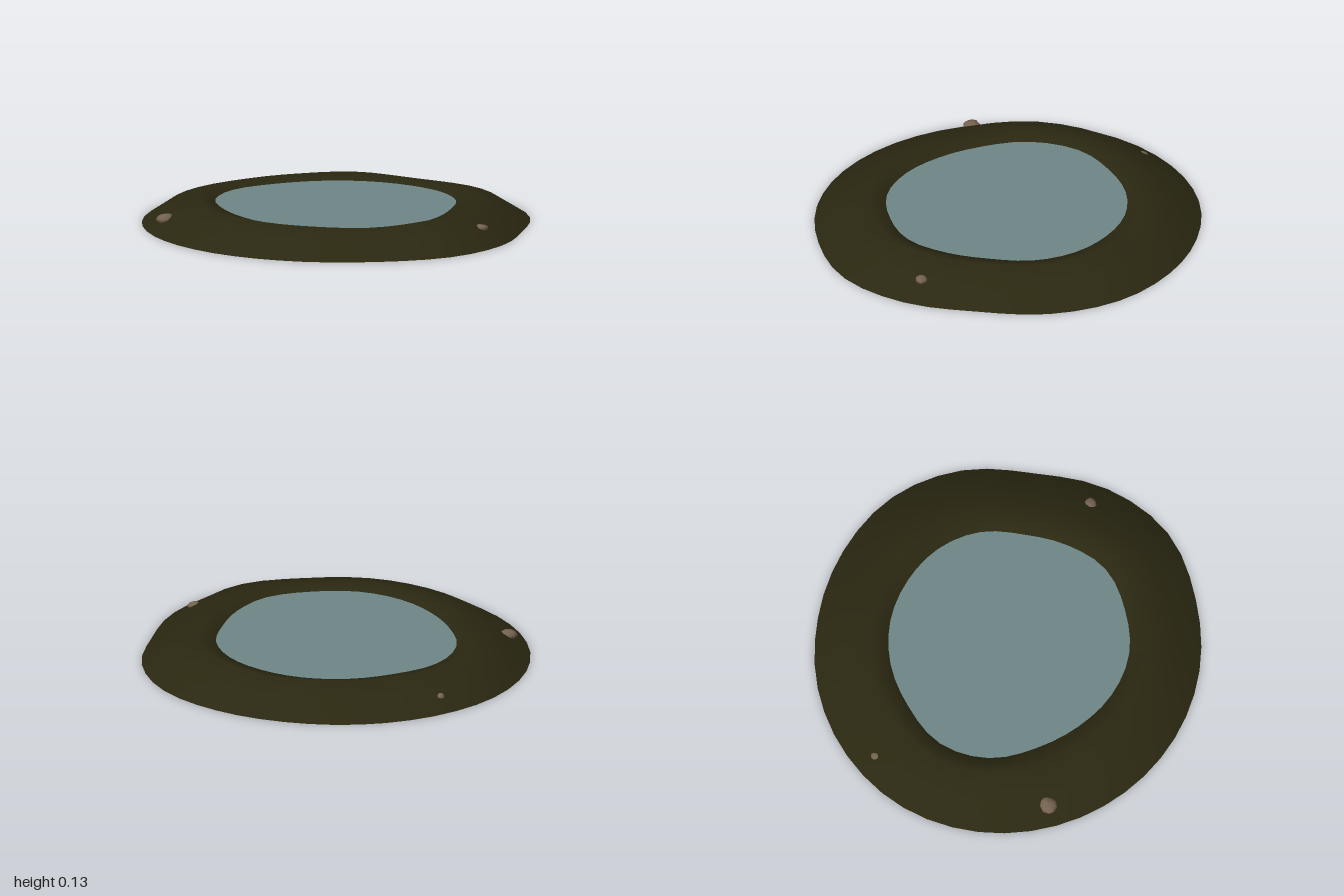
import * as THREE from 'three';

const SEGMENTS = 48;

// Radii of the shoreline and the outer rim, every 22.5 degrees from +x towards +z
const SHORE = [0.585, 0.575, 0.55, 0.57, 0.605, 0.6, 0.61, 0.6, 0.59, 0.605, 0.65, 0.66, 0.62, 0.605, 0.595, 0.585];
const RIM = [0.97, 0.95, 0.915, 0.96, 0.99, 0.965, 0.965, 0.97, 0.98, 0.995, 1.01, 1.015, 1.0, 0.98, 0.96, 0.96];

// Smooth closed interpolation of a radius table
function radiusAt(table, angle) {
  const n = table.length;
  const s = (angle / (Math.PI * 2)) * n;
  const i = Math.floor(s);
  const f = s - i;
  const [a, b, c, d] = [-1, 0, 1, 2].map((k) => table[(i + k + n) % n]);
  return b + 0.5 * f * (c - a + f * (2 * a - 5 * b + 4 * c - d + f * (3 * (b - c) + d - a)));
}

// Closed rings joined from the outside inwards; each ring gives [radius, height] at an angle
function loft(rings) {
  const pos = [];
  const index = [];
  rings.forEach((ring, r) => {
    for (let j = 0; j < SEGMENTS; j++) {
      const a = (j / SEGMENTS) * Math.PI * 2;
      const [radius, y] = ring(a);
      pos.push(radius * Math.cos(a), y, radius * Math.sin(a));
      if (r === rings.length - 1) continue;
      const k = (j + 1) % SEGMENTS;
      const o = r * SEGMENTS;
      const p = o + SEGMENTS;
      index.push(o + j, p + j, o + k, o + k, p + j, p + k);
    }
  });
  const geo = new THREE.BufferGeometry();
  geo.setAttribute('position', new THREE.Float32BufferAttribute(pos, 3));
  geo.setIndex(index);
  geo.computeVertexNormals();
  return geo;
}

// Bank ring: t = 0 at the shoreline, 1 at the outer rim
function bankRing(t, y, wobble = 0) {
  return (a) => {
    const s = radiusAt(SHORE, a);
    const wave = Math.sin(a * 5 + 0.6) + 0.6 * Math.sin(a * 8 + 2);
    return [s + (radiusAt(RIM, a) - s) * t, y + wobble * wave];
  };
}

// Flat sheet following the shoreline
function sheet(scale, y) {
  return loft([(a) => [radiusAt(SHORE, a) * scale, y], () => [0, y]]);
}

export function createModel() {
  const group = new THREE.Group();
  const material = (name, color) =>
    new THREE.MeshStandardMaterial({ name, color, side: THREE.DoubleSide });
  const earth = material('dark earth', 0x2a2711);
  const water = material('pond water', 0x708888);
  const mud = material('pond floor mud', 0x5a4b3f);
  const stone = material('brown stone', 0x74624f);

  const add = (name, geo, mat) => {
    const mesh = new THREE.Mesh(geo, mat);
    mesh.name = name;
    group.add(mesh);
    return mesh;
  };

  // Raised bank, hollow underneath
  add('bank', loft([
    bankRing(1, 0),
    bankRing(0.62, 0.088, 0.002),
    bankRing(0.24, 0.124, 0.004),
    bankRing(0, 0.1),
    bankRing(-0.02, 0.058),
  ]), earth);

  // Water surface and pond floor
  add('waterSurface', sheet(1.01, 0.1), water);
  add('pondFloor', sheet(1.02, 0.008), mud);

  // Flattened stones: x, y, z, radius
  const stones = [
    [-0.82, 0.055, -0.36, 0.05],
    [-0.1, 0.05, -0.89, 0.032],
    [0.33, 0.072, 0.755, 0.036],
    [0.54, 0.055, -0.54, 0.045],
    [0.52, 0.055, -0.62, 0.042],
    [-0.6, 0.055, -0.42, 0.05],
    [-0.64, 0.055, -0.3, 0.042],
    [-0.74, 0.055, 0.23, 0.042],
    [-0.08, 0.055, 0.79, 0.038],
    [0.03, 0.055, 0.66, 0.042],
  ];
  stones.forEach(([x, y, z, r], i) => {
    const geo = new THREE.SphereGeometry(1, 10, 7);
    const p = geo.attributes.position;
    for (let v = 0; v < p.count; v++) {
      const k = 1 + 0.08 * Math.sin(3 * p.getX(v) + i) * Math.cos(4 * p.getZ(v) + i);
      p.setXYZ(v, p.getX(v) * k, p.getY(v) * k, p.getZ(v) * k);
    }
    geo.computeVertexNormals();
    const mesh = add(`stone${i + 1}`, geo, stone);
    mesh.scale.set(r, r * 0.55, r * 0.85);
    mesh.rotation.y = i * 1.3;
    mesh.position.set(x, y, z);
  });

  return group;
}
